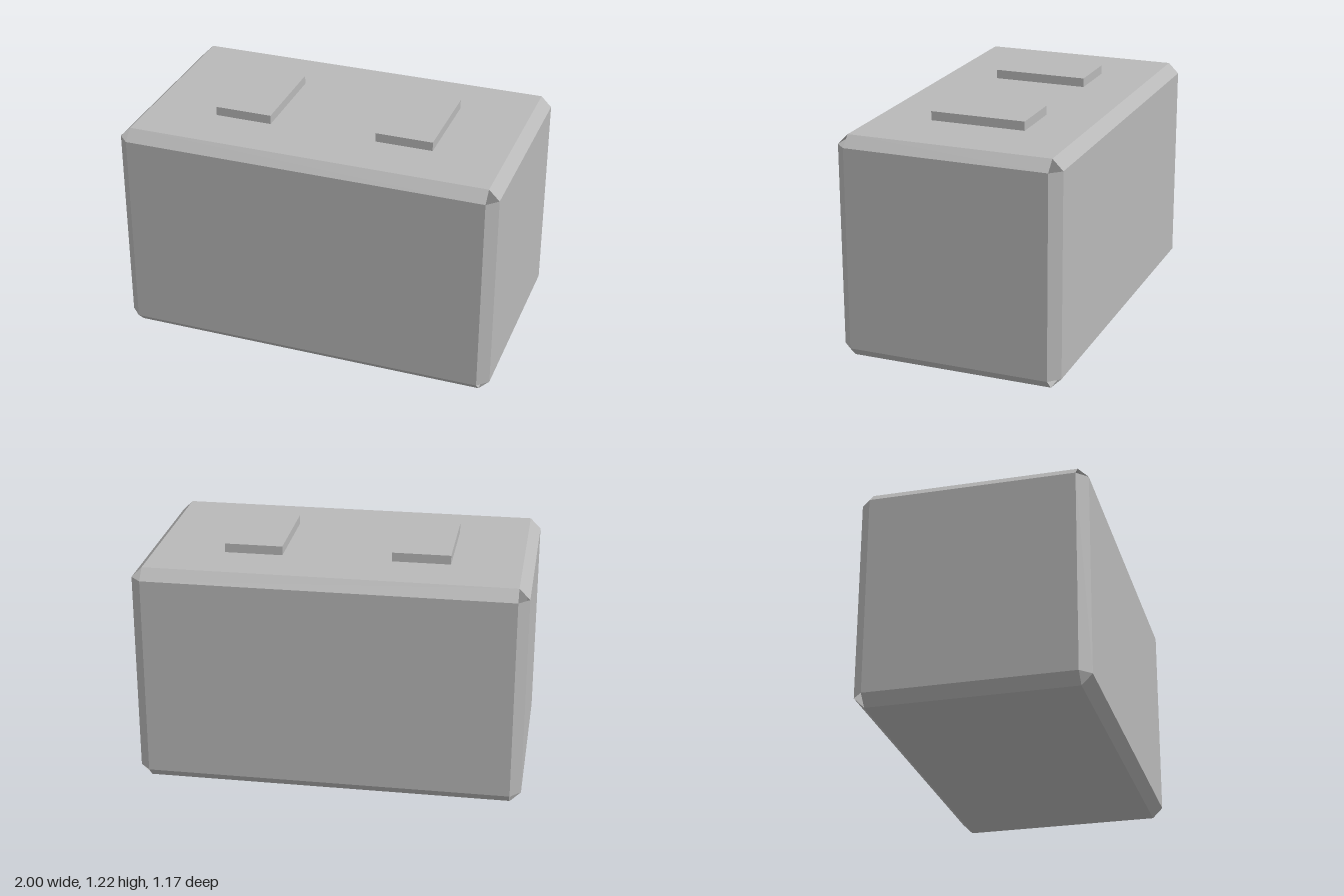
import * as THREE from 'three';

const HALF = [1, 0.585, 0.585]; // half sizes in x, y, z
const BEVEL = 0.055;

// Bevelled box: six panels and twelve edge strips, with open corners
function bevelledShell() {
  const positions = [];
  // Corner of the panel facing `axis`, in the octant given by `signs`
  const corner = (axis, signs) => new THREE.Vector3(
    ...HALF.map((h, i) => signs[i] * (i === axis ? h : h - BEVEL)));
  const quad = (a, b, c, d) => {
    const normal = b.clone().sub(a).cross(c.clone().sub(a));
    const mid = a.clone().add(c);
    const loop = normal.dot(mid) > 0 ? [a, b, c, a, c, d] : [a, c, b, a, d, c];
    loop.forEach((p) => positions.push(p.x, p.y, p.z));
  };
  const signsFor = (axes, values) => {
    const signs = [];
    axes.forEach((axis, i) => { signs[axis] = values[i]; });
    return signs;
  };
  for (let u = 0; u < 3; u++) {
    const v = (u + 1) % 3, w = (u + 2) % 3;
    const at = (axis, su, sv, sw) => corner(axis, signsFor([u, v, w], [su, sv, sw]));
    for (const s of [-1, 1]) {
      // Flat panel
      quad(at(u, s, -1, -1), at(u, s, 1, -1), at(u, s, 1, 1), at(u, s, -1, 1));
      // Edge strips between this panel and its neighbours along v
      for (const t of [-1, 1]) {
        quad(at(u, s, t, -1), at(u, s, t, 1), at(v, s, t, 1), at(v, s, t, -1));
      }
    }
  }
  const geometry = new THREE.BufferGeometry();
  geometry.setAttribute('position', new THREE.Float32BufferAttribute(positions, 3));
  geometry.computeVertexNormals();
  return geometry;
}

export function createModel() {
  const model = new THREE.Group();
  model.name = 'bevelledBlock';
  const grey = new THREE.MeshStandardMaterial({ color: 0xb8b8b8 });
  grey.name = 'light grey';
  grey.side = THREE.DoubleSide;
  grey.flatShading = true;

  const body = new THREE.Mesh(bevelledShell(), grey);
  body.name = 'body';
  body.position.y = HALF[1];
  model.add(body);

  // Raised pads on the top
  for (const [name, x] of [['leftPad', 0.43], ['rightPad', -0.435]]) {
    const pad = new THREE.Mesh(new THREE.BoxGeometry(0.3, 0.05, 0.5), grey);
    pad.name = name;
    pad.position.set(x, 2 * HALF[1] + 0.022, 0);
    model.add(pad);
  }
  return model;
}
